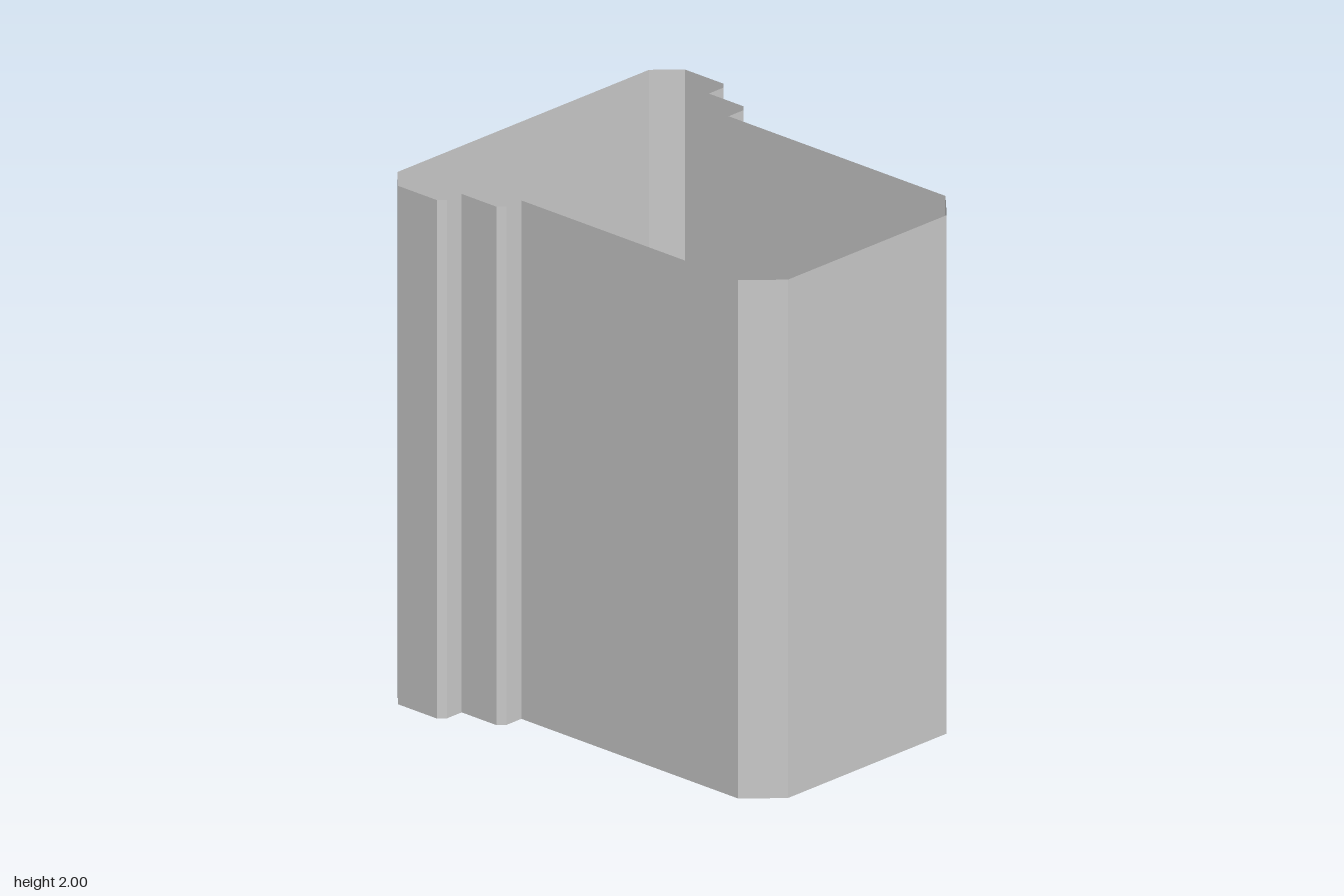
import * as THREE from 'three';

const HEIGHT = 2;

// Left half of the plan outline as [x, z], from front to back
const half = [
  [0.41, 0.845], [0.535, 0.72],                   // front chamfer
  [0.535, -0.345], [0.613, -0.345], [0.638, -0.37], // first step out
  [0.638, -0.54], [0.713, -0.54], [0.74, -0.565],   // second step out
  [0.74, -0.755], [0.65, -0.845],                 // back chamfer
];

// Open sleeve: one upright flat panel per outline edge
function sleeveGeometry(outline, height) {
  const pos = [];
  outline.forEach(([ax, az], i) => {
    const [bx, bz] = outline[(i + 1) % outline.length];
    pos.push(ax, 0, az, bx, 0, bz, bx, height, bz);
    pos.push(ax, 0, az, bx, height, bz, ax, height, az);
  });
  const geometry = new THREE.BufferGeometry();
  geometry.setAttribute('position', new THREE.Float32BufferAttribute(pos, 3));
  geometry.computeVertexNormals();
  return geometry;
}

export function createModel() {
  const group = new THREE.Group();
  group.name = 'steppedSleeve';

  // Mirror the half outline to close the loop
  const mirrored = half.map(([x, z]) => [-x, z]).reverse();
  const material = new THREE.MeshStandardMaterial({
    color: 0xcccccc, flatShading: true, side: THREE.DoubleSide,
  });
  const wall = new THREE.Mesh(sleeveGeometry([...half, ...mirrored], HEIGHT), material);
  wall.name = 'sleeveWall';
  group.add(wall);
  return group;
}
